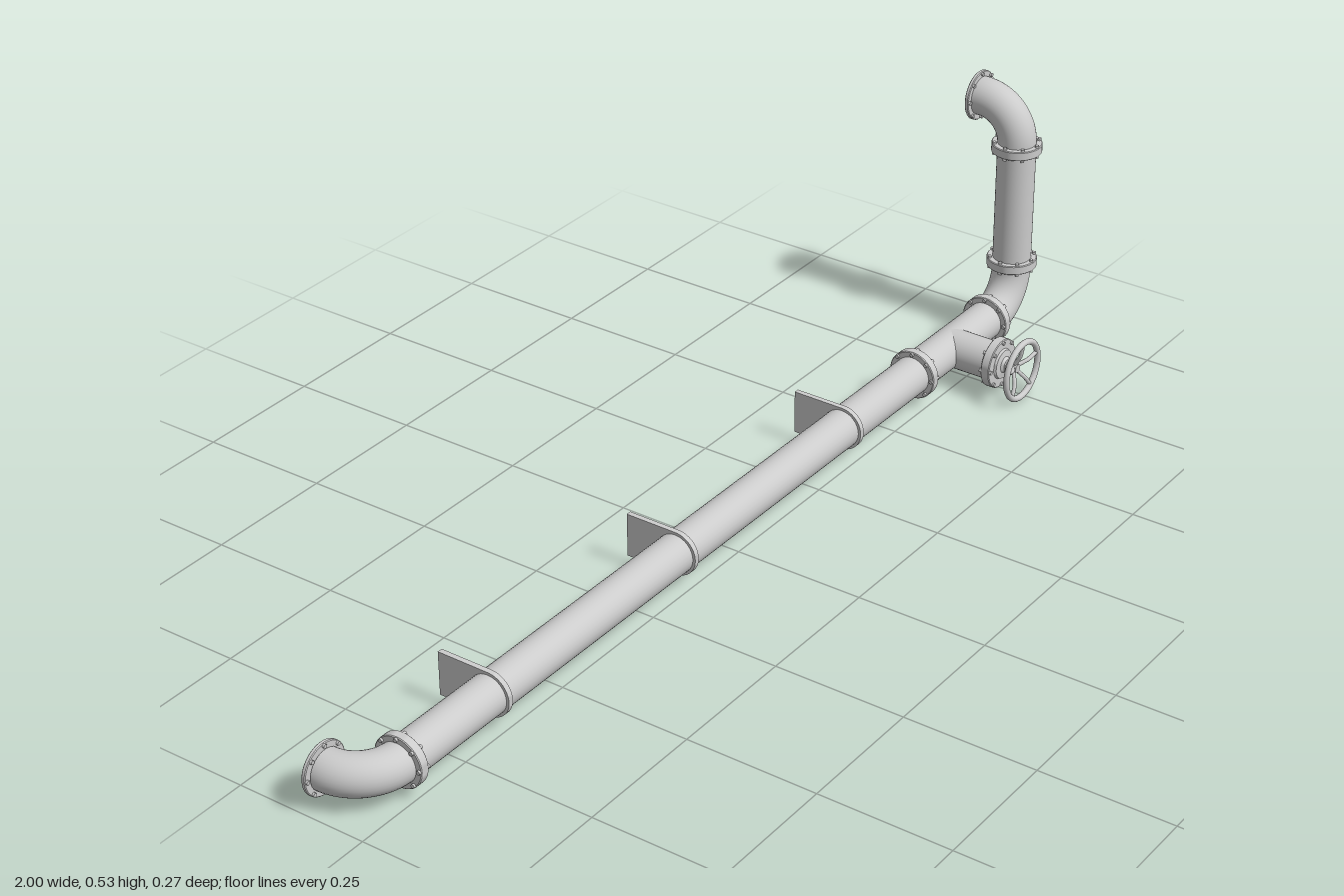
import * as THREE from 'three';
import { toCreasedNormals } from 'three/addons/utils/BufferGeometryUtils.js';

const R = 0.037, FLANGE = 0.048, BEND = 0.08, Y = 0.063, Z = -0.03, END = 0.952, VALVE_X = 0.735;
const UP = new THREE.Vector3(0, 1, 0);
const V = (x, y, z) => new THREE.Vector3(x, y, z);

export function createModel() {
  const root = new THREE.Group();
  const mat = new THREE.MeshStandardMaterial({ color: 0xcccccc, side: THREE.DoubleSide });

  const add = (name, geo, parent = root) => {
    const mesh = new THREE.Mesh(geo, mat);
    mesh.name = name;
    parent.add(mesh);
    return mesh;
  };

  // Cylinder between two points
  const rod = (name, a, b, r, parent = root, sides = 32, open = false) => {
    const d = b.clone().sub(a);
    const mesh = add(name, new THREE.CylinderGeometry(r, r, d.length(), sides, 1, open), parent);
    mesh.position.copy(a).add(b).multiplyScalar(0.5);
    mesh.quaternion.setFromUnitVectors(UP, d.normalize());
    return mesh;
  };

  // Solid of revolution from [radius, height] points
  const turned = (points) => toCreasedNormals(
    new THREE.LatheGeometry(points.map(([r, h]) => new THREE.Vector2(r, h)), 40), 0.6);

  // Bolted disc about its own y axis; end plates carry bolt heads on the +y side only
  const flange = (name, pos, dir, thick = 0.018, endPlate = false) => {
    const g = new THREE.Group();
    const h = thick / 2, c = 0.0015;
    g.name = name;
    add(name + 'Disc', turned([[0, -h], [FLANGE - c, -h], [FLANGE, c - h], [FLANGE, h - c], [FLANGE - c, h], [0, h]]), g);
    const low = endPlate ? 0 : -h - 0.004;
    for (let i = 0; i < 8; i++) {
      const a = i * Math.PI / 4, x = 0.0435 * Math.cos(a), z = 0.0435 * Math.sin(a);
      rod('bolt', V(x, low, z), V(x, h + 0.004, z), 0.004, g, 6);
    }
    g.position.copy(pos);
    g.quaternion.setFromUnitVectors(UP, dir);
    root.add(g);
  };

  const elbow = (name, bend, pos, rot) => {
    const mesh = add(name, new THREE.TorusGeometry(bend, R, 32, 24, Math.PI / 2));
    mesh.position.copy(pos);
    mesh.rotation.set(...rot);
  };

  // Straight runs
  const turn = END - BEND;
  rod('mainPipe', V(-turn, Y, Z), V(turn, Y, Z), R, root, 32, true);
  rod('riserPipe', V(END, Y + BEND, Z), V(END, 0.403, Z), R, root, 32, true);

  // Bends
  elbow('leftElbow', BEND, V(-turn, Y, Z - BEND), [Math.PI / 2, 0, Math.PI / 2]);
  elbow('lowerElbow', BEND, V(turn, Y + BEND, Z), [0, 0, -Math.PI / 2]);
  elbow('upperElbow', 0.075, V(END, 0.403, Z - 0.075), [0, -Math.PI / 2, 0]);
  rod('outletNeck', V(END, 0.478, -0.105), V(END, 0.478, -0.113), R, root, 32, true);

  // Flanged joints
  for (const x of [-0.867, 0.61, 0.867]) flange('pipeFlange', V(x, Y, Z), V(1, 0, 0));
  for (const y of [0.154, 0.395]) flange('riserFlange', V(END, y, Z), UP);
  flange('leftEndFlange', V(-END, Y, -0.1155), V(0, 0, 1), 0.008, true);
  flange('upperEndFlange', V(END, 0.478, -0.1155), V(0, 0, 1), 0.008, true);

  // Wall brackets: half-round clamp running back into a flat plate
  const clamp = 0.042, depth = 0.01;
  const outline = new THREE.Shape();
  outline.moveTo(0.102, -clamp);
  outline.lineTo(0.102, clamp);
  outline.lineTo(0, clamp);
  outline.absarc(0, 0, clamp, Math.PI / 2, Math.PI * 1.5, false);
  outline.closePath();
  const hole = new THREE.Path();
  hole.absarc(0, 0, R - 0.001, 0, Math.PI * 2, true);
  outline.holes.push(hole);
  const bracketGeo = toCreasedNormals(
    new THREE.ExtrudeGeometry(outline, { depth, bevelEnabled: false, curveSegments: 24 }), 0.6);
  for (const x of [-0.647, -0.14, 0.37]) {
    const bracket = add('wallBracket', bracketGeo);
    bracket.rotation.y = Math.PI / 2;
    bracket.position.set(x - depth / 2, Y, Z);
  }

  // Valve branch, bonnet and stem
  rod('valveBranch', V(VALVE_X, Y, Z), V(VALVE_X, Y, 0.07), R, root, 32, true);
  flange('valveFlange', V(VALVE_X, Y, 0.0755), V(0, 0, 1));
  const bonnet = add('valveBonnet', turned([
    [0.03, 0.084], [0.028, 0.089], [0.016, 0.091], [0.012, 0.096], [0.012, 0.099],
    [0.015, 0.1], [0.015, 0.11], [0.012, 0.112], [0.008, 0.113], [0.008, 0.119], [0, 0.12]]));
  bonnet.rotation.x = Math.PI / 2;
  bonnet.position.set(VALVE_X, Y, 0);

  // Handwheel with five dished spokes
  const wheel = new THREE.Group();
  wheel.name = 'handwheel';
  wheel.position.set(VALVE_X, Y, 0.128);
  root.add(wheel);
  add('rim', new THREE.TorusGeometry(0.056, 0.006, 14, 48), wheel);
  for (let i = 0; i < 5; i++) {
    const a = Math.PI / 2 + i * Math.PI * 0.4;
    const at = (r, z) => V(r * Math.cos(a), r * Math.sin(a), z);
    const path = new THREE.CatmullRomCurve3([at(0.004, -0.017), at(0.014, -0.012), at(0.03, -0.004), at(0.055, 0)]);
    add('spoke', new THREE.TubeGeometry(path, 10, 0.004, 8), wheel);
  }
  return root;
}
